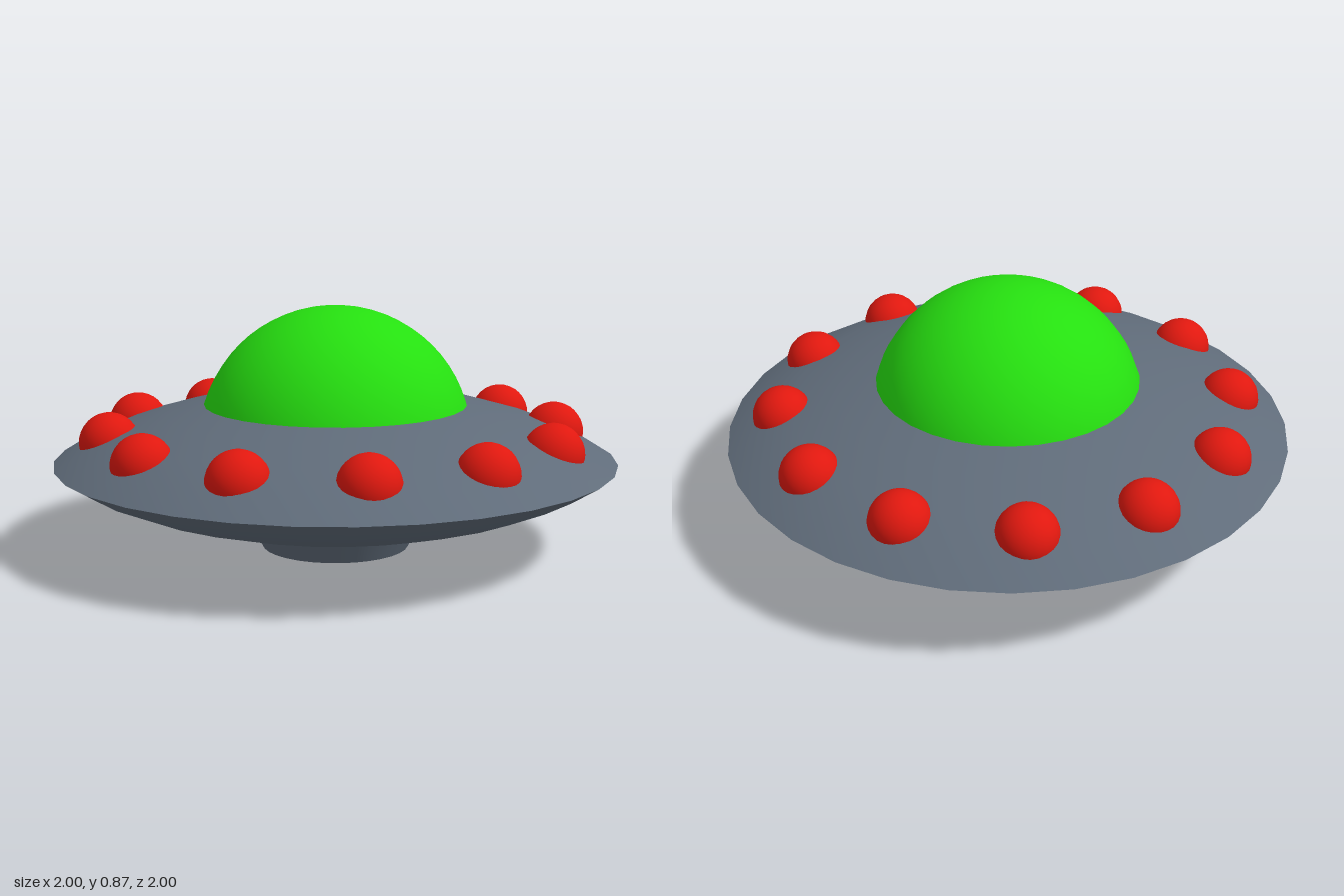
import * as THREE from 'three';

const SIDES = 32;
const RIM_Y = 0.318;

export function createModel() {
  const group = new THREE.Group();
  const paint = (color) => new THREE.MeshStandardMaterial({ color });
  const slate = paint(0x606c7a);
  const green = paint(0x26e010);
  const red = paint(0xe0180f);
  const black = paint(0x000000);

  const add = (name, geometry, material, x = 0, y = 0, z = 0) => {
    const mesh = new THREE.Mesh(geometry, material);
    mesh.name = name;
    mesh.position.set(x, y, z);
    group.add(mesh);
    return mesh;
  };
  const lathe = (points) =>
    new THREE.LatheGeometry(points.map(([r, y]) => new THREE.Vector2(r, y)), SIDES);

  // Saucer hull: two mirrored shells meeting at a sharp rim [radius, distance from rim plane]
  const shell = [[1, 0], [0.9, 0.062], [0.764, 0.12], [0.604, 0.168], [0.444, 0.205], [0.283, 0.231], [0.12, 0.243], [0, 0.246]];
  add('upperHull', lathe(shell.map(([r, h]) => [r, RIM_Y + h])), slate);
  add('lowerHull', lathe(shell.map(([r, h]) => [r, RIM_Y - h]).reverse()), slate);

  // Domed canopy, sunk into the hull
  add('dome', new THREE.SphereGeometry(0.488, SIDES, 16, 0, Math.PI * 2, 0, Math.PI / 2), green, 0, 0.377, 0);

  // Flared collar underneath with a dark recessed hatch
  add('collarOuter', lathe([[0.262, 0], [0.317, 0.1]]), slate);
  add('collarInner', lathe([[0.285, 0.05], [0.255, 0]]), slate);
  add('collarLip', lathe([[0.255, 0], [0.262, 0]]), slate);
  add('hatch', new THREE.CircleGeometry(0.285, SIDES), black, 0, 0.045, 0).rotation.x = Math.PI / 2;

  // Ring of lights around the upper hull
  const bulb = new THREE.SphereGeometry(0.107, 24, 16);
  for (let i = 0; i < 12; i++) {
    const a = (i / 12) * Math.PI * 2;
    add(`light${i + 1}`, bulb, red, 0.8 * Math.sin(a), 0.395, 0.8 * Math.cos(a));
  }

  return group;
}
